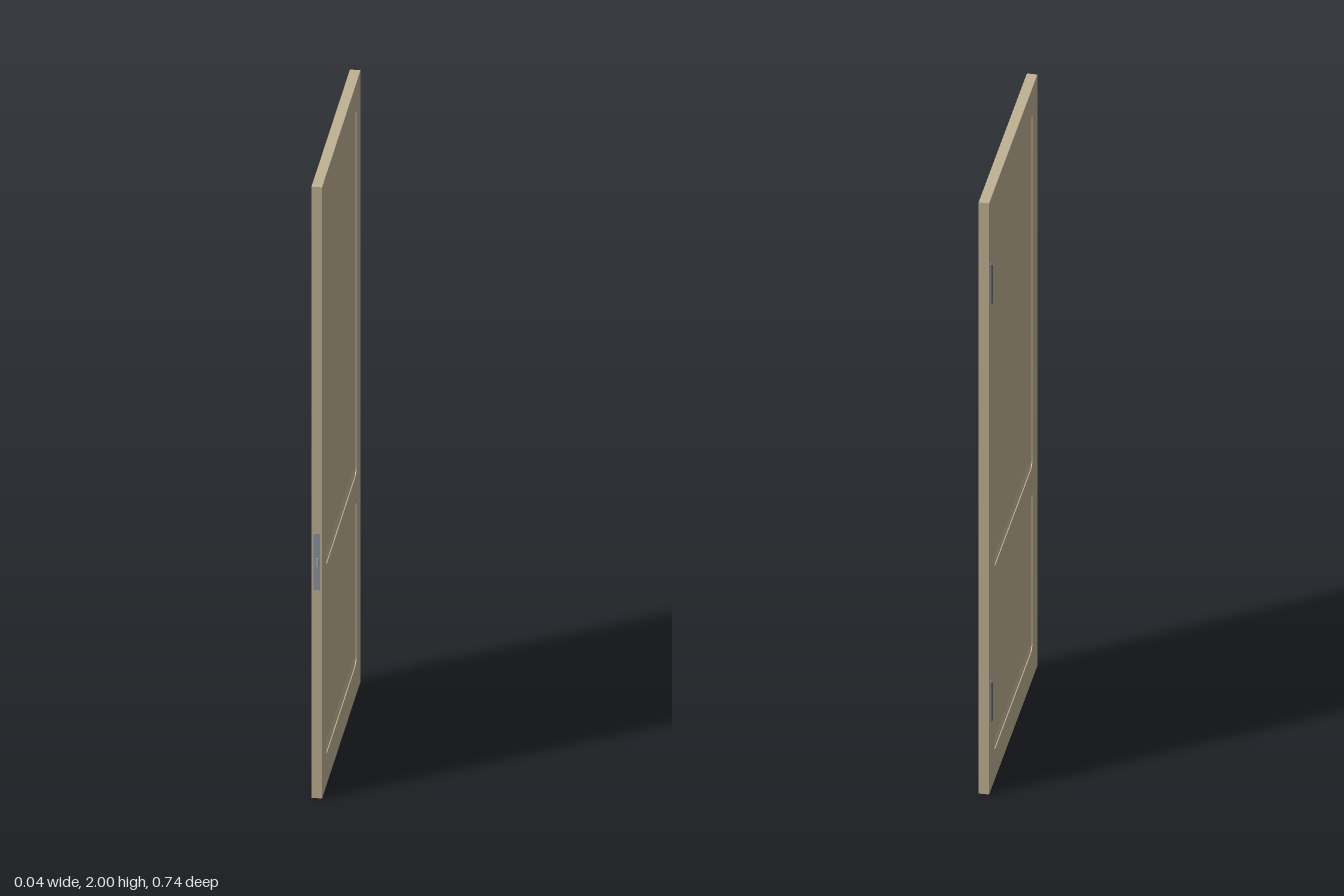
import * as THREE from 'three';

const wood = new THREE.MeshStandardMaterial({ color: 0xbfb294 });
const woodFlat = new THREE.MeshStandardMaterial({ color: 0xbfb294, flatShading: true });
const steel = new THREE.MeshStandardMaterial({ color: 0x8b959f });
const darkSteel = new THREE.MeshStandardMaterial({ color: 0x6a7078 });

const HALF = 0.0155;        // half the door thickness
const PANEL_HALF = 0.007;   // half the panel thickness
const OPEN_W = 0.578;       // width of both panel openings
const openings = [
  { name: 'upperPanel', y0: 0.72, y1: 1.92 },
  { name: 'lowerPanel', y0: 0.10, y1: 0.64 },
];

function named(name, geometry, material) {
  const mesh = new THREE.Mesh(geometry, material);
  mesh.name = name;
  return mesh;
}

// Counter-clockwise outline of a rounded rectangle centred on (cx, cy)
function roundedLoop(w, h, r, cx = 0, cy = 0) {
  const points = [];
  const corners = [[1, -1], [1, 1], [-1, 1], [-1, -1]];
  corners.forEach(([sx, sy], c) => {
    for (let i = 0; i <= 6; i++) {
      const a = (c - 1 + i / 6) * Math.PI / 2;
      points.push(new THREE.Vector2(
        cx + sx * (w / 2 - r) + r * Math.cos(a),
        cy + sy * (h / 2 - r) + r * Math.sin(a)));
    }
  });
  return points;
}

// Sloping ring from the rim of an opening down to the panel face
function mouldingGeometry(w, h) {
  const loops = [
    { inset: 0, z: 0.0125, r: 0.022 },
    { inset: 0.005, z: 0.0122, r: 0.018 },
    { inset: 0.018, z: PANEL_HALF - 0.0005, r: 0.004 },
  ];
  const positions = [];
  const index = [];
  let n = 0;
  for (const { inset, z, r } of loops) {
    const loop = roundedLoop(w - 2 * inset, h - 2 * inset, r);
    n = loop.length;
    for (const p of loop) positions.push(p.x, p.y, z);
  }
  for (let k = 0; k < loops.length - 1; k++) {
    for (let i = 0; i < n; i++) {
      const a = k * n + i, b = k * n + (i + 1) % n;
      index.push(a, b, b + n, a, b + n, a + n);
    }
  }
  const geometry = new THREE.BufferGeometry();
  geometry.setAttribute('position', new THREE.Float32BufferAttribute(positions, 3));
  geometry.setIndex(index);
  geometry.computeVertexNormals();
  return geometry;
}

// Boards separated by clusters of three grooves, cut on both faces
function grooveGeometry(h) {
  const half = 0.274, pitch = 0.0767, depth = 0.004;
  const face = [[-half, PANEL_HALF]];
  for (let i = 0; i < 7; i++) {
    for (let g = 0; g < 3; g++) {
      const s = -0.267 + i * pitch + 0.037 + g * 0.0128;
      face.push([s, PANEL_HALF], [s + 0.0035, PANEL_HALF - depth],
        [s + 0.0055, PANEL_HALF - depth], [s + 0.009, PANEL_HALF]);
    }
  }
  face.push([half, PANEL_HALF]);
  const back = face.map(([x, y]) => [x, -y]).reverse();
  const shape = new THREE.Shape([...face, ...back].map(([x, y]) => new THREE.Vector2(x, y)));
  const geometry = new THREE.ExtrudeGeometry(shape, { depth: h, bevelEnabled: false });
  geometry.translate(0, 0, -h / 2);
  geometry.rotateX(-Math.PI / 2);
  return geometry;
}

export function createModel() {
  const model = new THREE.Group();
  model.name = 'door';

  // The slab is drawn in its own plane, then turned so its faces look along x
  const slab = new THREE.Group();
  slab.name = 'slab';
  slab.rotation.y = Math.PI / 2;
  slab.position.set(0.0045, 0, -0.0045);
  model.add(slab);

  // Stiles and rails with two rounded openings
  const W = 0.727;
  const outline = new THREE.Shape([
    new THREE.Vector2(-W / 2, 0), new THREE.Vector2(W / 2, 0),
    new THREE.Vector2(W / 2, 2), new THREE.Vector2(-W / 2, 2)]);
  for (const { y0, y1 } of openings) {
    outline.holes.push(new THREE.Path(roundedLoop(OPEN_W, y1 - y0, 0.022, 0, (y0 + y1) / 2)));
  }
  const frame = new THREE.ExtrudeGeometry(outline, { depth: 2 * HALF, bevelEnabled: false });
  frame.translate(0, 0, -HALF);
  slab.add(named('frame', frame, wood));

  // Grooved panels with a moulding on each face
  for (const { name, y0, y1 } of openings) {
    const panel = new THREE.Group();
    panel.name = name;
    panel.position.y = (y0 + y1) / 2;
    const h = y1 - y0;
    panel.add(named('groovedBoards', grooveGeometry(h - 0.03), woodFlat));
    for (const side of [0, 1]) {
      const moulding = named('moulding', mouldingGeometry(OPEN_W, h), woodFlat);
      moulding.rotation.y = side * Math.PI;
      panel.add(moulding);
    }
    slab.add(panel);
  }

  // Latch plate and wedge-shaped bolt on the opening edge
  const latch = new THREE.Group();
  latch.name = 'latch';
  const plate = named('latchPlate', new THREE.BoxGeometry(0.02, 0.184, 0.003), steel);
  plate.position.set(0.0045, 0.773, 0.358);
  latch.add(plate);
  const wedge = new THREE.Shape([
    new THREE.Vector2(-0.001, -0.356), new THREE.Vector2(0.0095, -0.368),
    new THREE.Vector2(0.0095, -0.356)]);
  const bolt = named('latchBolt',
    new THREE.ExtrudeGeometry(wedge, { depth: 0.026, bevelEnabled: false }), steel);
  bolt.rotation.x = -Math.PI / 2;
  bolt.position.y = 0.76;
  latch.add(bolt);
  model.add(latch);

  // Hinge barrels along the hanging edge
  for (const y of [0.315, 1.727]) {
    const hinge = named('hingeBarrel', new THREE.CylinderGeometry(0.0055, 0.0055, 0.132, 20), darkSteel);
    hinge.position.set(-0.0165, y, -0.3635);
    model.add(hinge);
  }
  return model;
}
